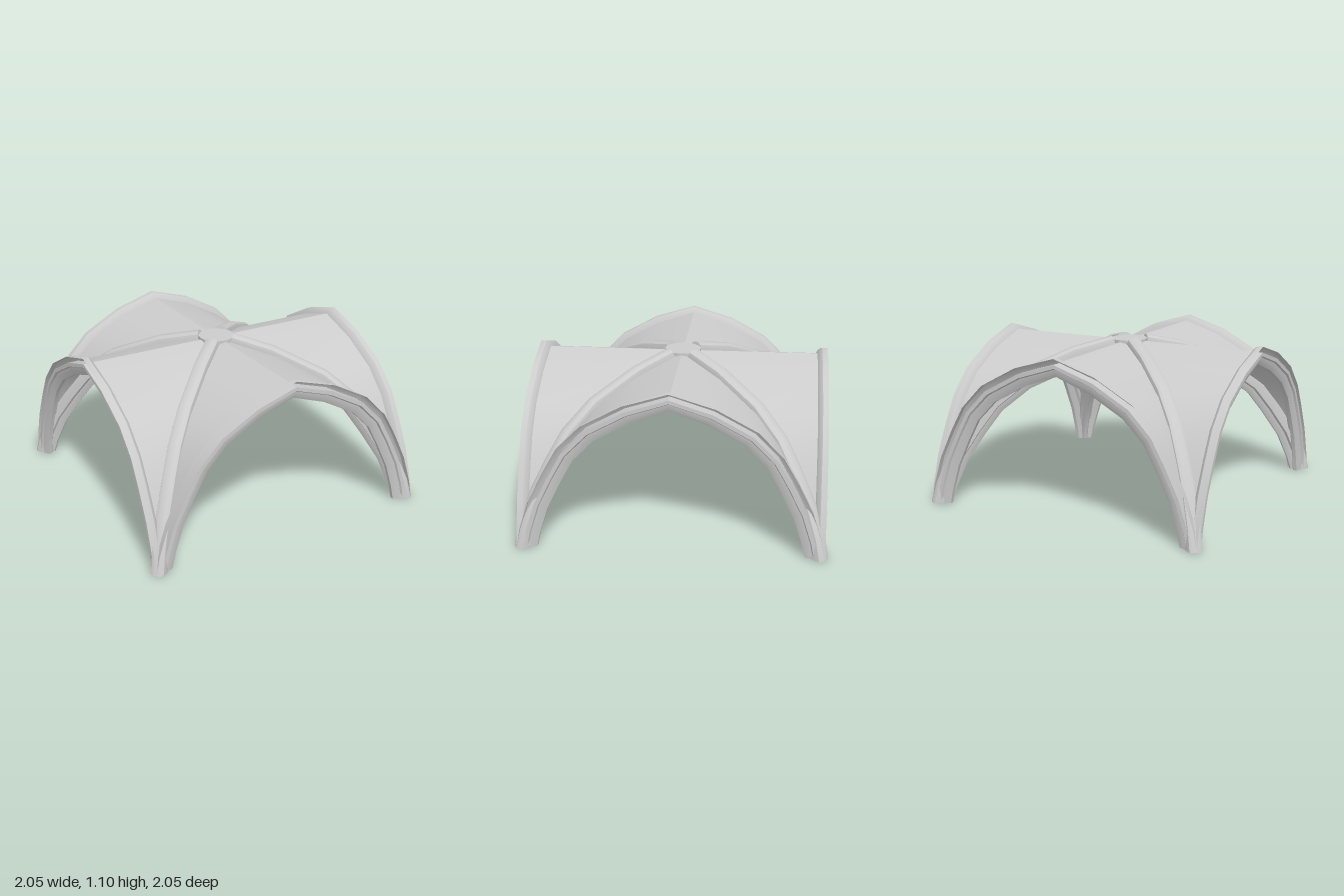
import * as THREE from 'three';
import { toCreasedNormals } from 'three/addons/utils/BufferGeometryUtils.js';

const material = new THREE.MeshStandardMaterial({ color: 0xcccccc, side: THREE.DoubleSide });

// Half of the pointed arch, crown to foot: outer and inner edge
const OUTER = [[0, 1.097], [0.293, 1.008], [0.556, 0.865], [0.717, 0.7], [0.815, 0.527], [0.911, 0.33], [0.975, 0.13], [1, 0]];
const INNER = [[0, 0.975], [0.24, 0.89], [0.476, 0.76], [0.615, 0.62], [0.7, 0.465], [0.79, 0.28], [0.847, 0.1], [0.87, 0]];

// Half curve at depth t between the outer (0) and inner (1) edge
const halfCurve = (t) => OUTER.map(([x, y], i) => [x + (INNER[i][0] - x) * t, y + (INNER[i][1] - y) * t]);

// Whole curve from -x to +x
function fullCurve(t) {
  const half = halfCurve(t);
  return [...half.slice(1).reverse().map(([x, y]) => [-x, y]), ...half];
}

// Skin a grid of points; a closed loop also gets end caps
function skin(rows, closed, crease = 0.6) {
  const n = rows[0].length;
  const index = [];
  for (let i = 0; i < rows.length - 1; i++) {
    for (let j = 0; j < (closed ? n : n - 1); j++) {
      const k = (j + 1) % n;
      const a = i * n + j, b = a + n, c = i * n + k, d = c + n;
      index.push(a, b, c, c, b, d);
    }
  }
  if (closed) {
    const last = (rows.length - 1) * n;
    for (let j = 1; j < n - 1; j++) index.push(0, j, j + 1, last, last + j + 1, last + j);
  }
  const geometry = new THREE.BufferGeometry();
  geometry.setAttribute('position', new THREE.Float32BufferAttribute(rows.flat(2), 3));
  geometry.setIndex(index);
  return toCreasedNormals(geometry, crease);
}

// Arch over the +z edge; profile is a list of [z, depth]
function archGeometry(profile, closed) {
  const curves = profile.map(([, t]) => fullCurve(t));
  const rows = curves[0].map((_, i) => profile.map(([z], j) => [...curves[j][i], z]));
  return skin(rows, closed);
}

const WEB_DEPTH = 0.3;

// Barrel panel between the +z arch and the two groins
function webGeometry() {
  const rows = fullCurve(WEB_DEPTH).map(([x, y]) => [
    [x, y, Math.max(0.94, Math.abs(x))],
    [x, y, Math.abs(x)],
  ]);
  return skin(rows, false);
}

// Rib from the boss to the (+x, +z) foot; profile is a list of [side, height]
function diagonalGeometry(profile) {
  const path = halfCurve(WEB_DEPTH);
  const k = 0.08 / path[1][0];
  path[0] = [0.08, path[0][1] + (path[1][1] - path[0][1]) * k];
  const points = path.map(([x, y]) => new THREE.Vector2(x * Math.SQRT2, y));
  const rows = points.map((p, i) => {
    const before = points[Math.max(0, i - 1)], after = points[Math.min(points.length - 1, i + 1)];
    const tangent = after.clone().sub(before).normalize();
    const normal = i === points.length - 1 ? new THREE.Vector2(1, 0) : new THREE.Vector2(-tangent.y, tangent.x);
    return profile.map(([w, h]) => {
      const r = p.x + normal.x * h;
      return [(r + w) / Math.SQRT2, p.y + normal.y * h, (r - w) / Math.SQRT2];
    });
  });
  return skin(rows, true);
}

export function createModel() {
  const model = new THREE.Group();
  model.name = 'ribVault';
  const add = (parent, name, geometry) => {
    const mesh = new THREE.Mesh(geometry, material);
    mesh.name = name;
    parent.add(mesh);
    return mesh;
  };

  // Open upper moulding and stepped lower moulding of each edge arch
  const hood = archGeometry([[1, 0], [0.962, 0], [0.94, 0.14], [0.925, 0.4]], false);
  const moulding = archGeometry([
    [0.9, 0.32], [0.9, 0.52], [0.92, 0.58], [0.925, 0.78], [0.94, 1],
    [0.965, 1], [0.98, 0.78], [0.985, 0.58], [0.998, 0.52], [0.998, 0.32],
  ], true);
  const web = webGeometry();

  // Diagonal rib with a rounded back and a stepped underside
  const diagonal = diagonalGeometry([
    [-0.05, 0.02], [-0.042, 0.045], [-0.02, 0.058], [0.02, 0.058], [0.042, 0.045], [0.05, 0.02],
    [0.05, -0.03], [0.03, -0.04], [0.026, -0.06], [0.012, -0.085],
    [-0.012, -0.085], [-0.026, -0.06], [-0.03, -0.04], [-0.05, -0.03],
  ]);

  for (let i = 0; i < 4; i++) {
    const bay = new THREE.Group();
    bay.name = 'bay' + (i + 1);
    bay.rotation.y = (i * Math.PI) / 2;
    add(bay, 'archHood', hood);
    add(bay, 'archMoulding', moulding);
    add(bay, 'vaultWeb', web);
    add(bay, 'diagonalRib', diagonal);
    model.add(bay);
  }

  // Round boss at the crossing of the ribs
  const boss = add(model, 'centralBoss', toCreasedNormals(new THREE.CylinderGeometry(0.125, 0.125, 0.075, 16), 0.6));
  boss.position.y = 1.035;
  return model;
}
